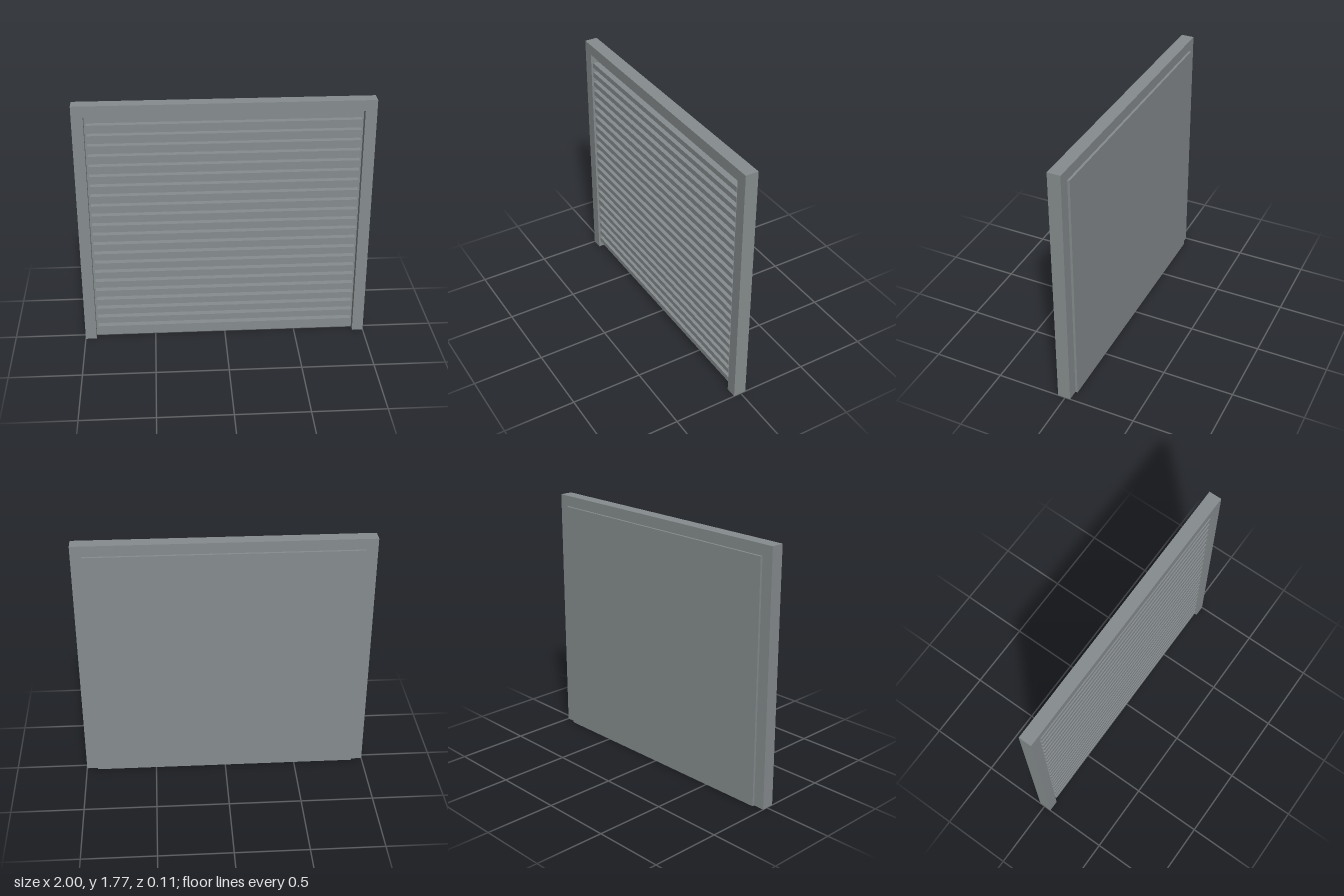
import * as THREE from 'three';

export function createModel() {
  const model = new THREE.Group();
  model.name = 'slattedShutter';

  const grey = new THREE.MeshStandardMaterial({ color: 0x868c8e });
  grey.name = 'shutterGrey';

  const height = 1.77, innerTop = 1.695, innerX = 0.922;
  const frameBack = -0.037, frameFront = 0.053;

  // Surround: two jambs and a lintel in one piece, open at the bottom
  const outline = new THREE.Shape([
    [-1, 0], [-innerX, 0], [-innerX, innerTop], [innerX, innerTop],
    [innerX, 0], [1, 0], [1, height], [-1, height],
  ].map(([x, y]) => new THREE.Vector2(x, y)));
  const frameGeometry = new THREE.ExtrudeGeometry(outline, {
    depth: frameFront - frameBack, bevelEnabled: false,
  });
  const frame = new THREE.Mesh(frameGeometry, grey);
  frame.name = 'frame';
  frame.position.z = frameBack;
  model.add(frame);

  // Backing panel, standing slightly proud of the frame at the rear
  const panelBack = -0.053, panelFront = 0.003;
  const panel = new THREE.Mesh(
    new THREE.BoxGeometry(innerX * 2, innerTop, panelFront - panelBack), grey);
  panel.name = 'backPanel';
  panel.position.set(0, innerTop / 2, (panelBack + panelFront) / 2);
  model.add(panel);

  // Evenly spaced horizontal slats
  const slats = new THREE.Group();
  slats.name = 'slats';
  const slatCount = 22, firstY = 0.079, lastY = 1.615;
  const slatFront = 0.046;
  const slatGeometry = new THREE.BoxGeometry(1.814, 0.037, slatFront - panelFront);
  for (let i = 0; i < slatCount; i++) {
    const slat = new THREE.Mesh(slatGeometry, grey);
    slat.name = `slat${i + 1}`;
    slat.position.set(0, THREE.MathUtils.lerp(firstY, lastY, i / (slatCount - 1)),
      (slatFront + panelFront) / 2);
    slats.add(slat);
  }
  model.add(slats);

  return model;
}
